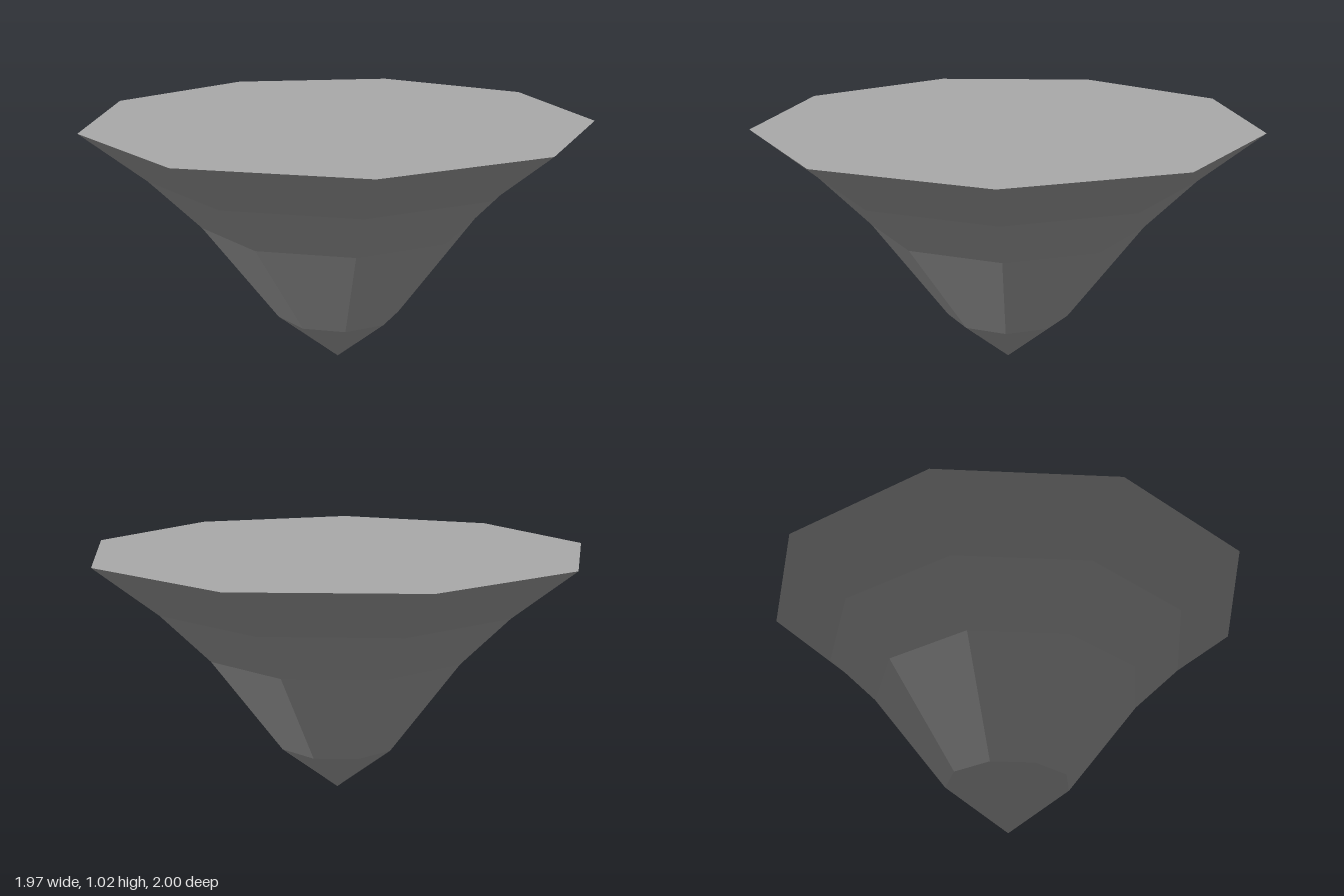
import * as THREE from 'three';

const SIDES = 9;
const SIZE = 1.0154; // rim radius and overall height

export function createModel() {
  const group = new THREE.Group();
  group.name = 'facetedCone';
  const stone = new THREE.MeshStandardMaterial({ color: 0xaaaaaa, flatShading: true });
  stone.name = 'grey stone';

  // Flared nine-sided body, from the bottom tip up to the rim
  const profile = [[0, 0], [0.25, 0.2], [0.55, 0.6], [0.75, 0.8], [1, 1]]
    .map(([r, y]) => new THREE.Vector2(r * SIZE, y * SIZE));
  const body = new THREE.Mesh(new THREE.LatheGeometry(profile, SIDES, Math.PI / 2), stone);
  body.name = 'flaredBody';

  // Flat top with one corner pointing to +x
  const top = new THREE.Mesh(new THREE.CircleGeometry(SIZE, SIDES).rotateX(-Math.PI / 2), stone);
  top.name = 'flatTop';
  top.position.y = SIZE;

  group.add(body, top);
  // An odd number of sides is off-centre in x, so shift to centre the outline
  group.position.x = -SIZE * (1 - Math.cos(Math.PI / SIDES)) / 2;
  return group;
}
